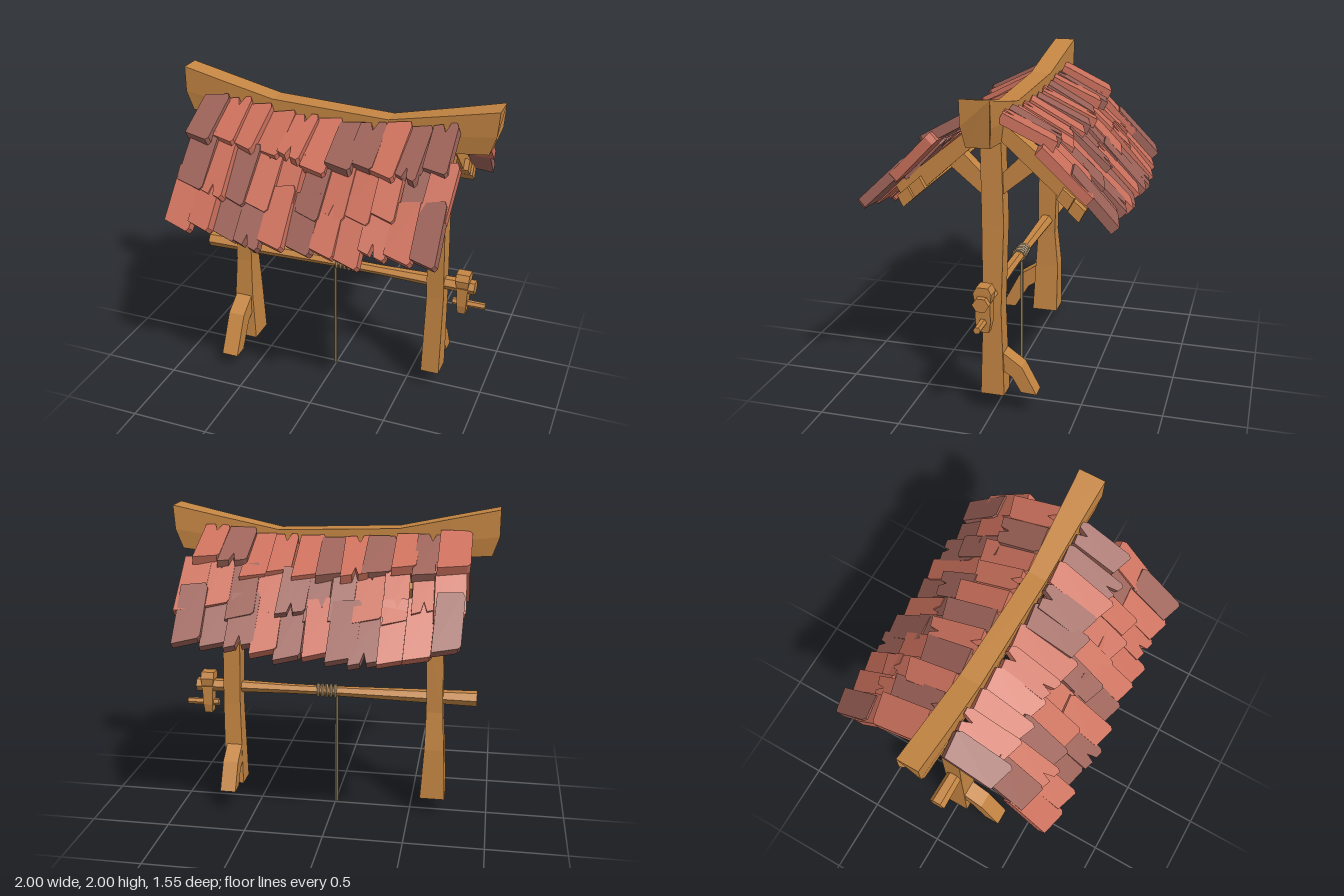
import * as THREE from 'three';

const material = (name, color) => Object.assign(new THREE.MeshStandardMaterial({ color }), { name });

// Flat-faced solid through cross-sections that all have the same number of points
function loft(sections) {
  const pos = [];
  const n = sections[0].length;
  const tri = (a, b, c) => pos.push(...a, ...b, ...c);
  for (let i = 0; i + 1 < sections.length; i++) {
    const A = sections[i], B = sections[i + 1];
    for (let j = 0; j < n; j++) {
      const k = (j + 1) % n;
      tri(A[j], A[k], B[k]);
      tri(A[j], B[k], B[j]);
    }
  }
  const first = sections[0], last = sections[sections.length - 1];
  for (let j = 1; j + 1 < n; j++) {
    tri(first[0], first[j + 1], first[j]);
    tri(last[0], last[j], last[j + 1]);
  }
  // turn the faces outward if the signed volume is negative
  let volume = 0;
  for (let i = 0; i < pos.length; i += 9) {
    const [a, b, c] = [0, 3, 6].map(o => new THREE.Vector3().fromArray(pos, i + o));
    volume += a.dot(b.cross(c));
  }
  if (volume < 0) {
    for (let i = 0; i < pos.length; i += 9) {
      for (let d = 0; d < 3; d++) [pos[i + 3 + d], pos[i + 6 + d]] = [pos[i + 6 + d], pos[i + 3 + d]];
    }
  }
  const g = new THREE.BufferGeometry();
  g.setAttribute('position', new THREE.Float32BufferAttribute(pos, 3));
  g.computeVertexNormals();
  return g;
}

function flat(geometry) {
  const g = geometry.toNonIndexed();
  g.computeVertexNormals();
  return g;
}

// Upright timber from rows of [y, x0, x1, z0, z1]
const timber = rows => loft(rows.map(([y, x0, x1, z0, z1]) =>
  [[x0, y, z0], [x1, y, z0], [x1, y, z1], [x0, y, z1]]));

// Outline of [z, y] points extruded along x and centred on x
function sideProfile(points, x, width, sign = 1) {
  const shape = new THREE.Shape(points.map(([z, y]) => new THREE.Vector2(z * sign, y)));
  const g = new THREE.ExtrudeGeometry(shape, { depth: width, bevelEnabled: false });
  return g.translate(0, 0, -width / 2).rotateY(-Math.PI / 2).translate(x, 0, 0);
}

// Roof tile lying in xy, y up the slope, with a slanted lower edge and optional splits
function tileGeometry(w, len, skew, topSplit, lowSplit) {
  const h = w / 2, p = [[-h, -0.01]];
  if (topSplit) p.push([-0.02, 0], [0.005, -0.06], [0.025, 0.01]);
  p.push([h * 0.8, 0.012], [h, -0.02], [h * 1.04, -len - skew + 0.02], [h * 0.85, -len - skew]);
  if (lowSplit) p.push([0.02, -len - skew * 0.3], [0, -len + 0.07], [-0.015, -len]);
  p.push([-h * 0.96, -len + skew]);
  const shape = new THREE.Shape(p.map(([x, y]) => new THREE.Vector2(x, y)));
  return new THREE.ExtrudeGeometry(shape, { depth: 0.06, bevelEnabled: false }).translate(0, 0, -0.06);
}

export function createModel() {
  const model = new THREE.Group();
  model.name = 'wellRoof';
  const wood = material('wood', 0xc58643);
  const lightTile = material('light clay', 0xcb705c);
  const dullTile = material('dull clay', 0x9c6258);
  const ropeFibre = material('rope fibre', 0x988260);
  const add = (name, geometry, mat, parent = model) => {
    const mesh = new THREE.Mesh(geometry, mat);
    mesh.name = name;
    parent.add(mesh);
    return mesh;
  };
  let seed = 11;
  const jitter = amount => {
    seed = (seed * 16807) % 2147483647;
    return (seed / 2147483647 - 0.5) * 2 * amount;
  };

  // Posts
  add('rightPost', timber([
    [0.11, -0.73, -0.57, -0.085, 0.09], [0.45, -0.715, -0.59, -0.085, 0.075], [0.7, -0.70, -0.595, -0.06, 0.06],
    [1.2, -0.69, -0.585, -0.075, 0.055], [1.74, -0.70, -0.59, -0.06, 0.06]]), wood);
  add('leftPost', timber([
    [0.125, 0.61, 0.73, -0.075, 0.07], [0.68, 0.62, 0.73, -0.06, 0.05],
    [1.2, 0.605, 0.715, -0.075, 0.055], [1.74, 0.60, 0.71, -0.06, 0.06]]), wood);

  // Foot braces, one in front and one behind
  add('frontFootBrace', sideProfile(
    [[0.05, 0.45], [0.2, 0.35], [0.33, 0.1], [0.23, 0.1], [0.13, 0.27], [0.05, 0.32]], -0.655, 0.11), wood);
  add('backFootBrace', sideProfile(
    [[-0.04, 0.42], [-0.18, 0.32], [-0.27, 0.15], [-0.175, 0.155], [-0.12, 0.25], [-0.04, 0.3]], 0.665, 0.1), wood);

  // Sagging ridge beam
  add('ridgeBeam', loft([
    // x at top, x at side, x at bottom, top y, side y, bottom y, back z, front z
    [-1, -1, -0.96, 2, 1.84, 1.72, -0.09, 0.045], [-0.7, -0.7, -0.7, 1.935, 1.8, 1.7, -0.08, 0.055],
    [-0.4, -0.4, -0.4, 1.87, 1.75, 1.66, -0.07, 0.06], [0.34, 0.34, 0.34, 1.84, 1.74, 1.65, -0.057, 0.062],
    [0.7, 0.7, 0.7, 1.915, 1.79, 1.68, -0.075, 0.07], [1, 0.99, 0.95, 1.98, 1.83, 1.71, -0.09, 0.08]
  ].map(([xt, xs, xb, t, s, b, z0, z1]) =>
    [[xt, t, z0], [xt, t, z1], [xs, s, z1], [xb, b, z1 * 0.8], [xb, b, z0 * 0.8], [xs, s, z0]])), wood);

  // Rafters, struts and eave planks on both slopes
  for (const sign of [1, -1]) {
    for (const x of [-0.645, 0.655]) {
      add('rafter', sideProfile(
        [[0, 1.82], [0.1, 1.77], [0.575, 1.385], [0.515, 1.28], [0.16, 1.6], [0.06, 1.69], [0, 1.72]], x, 0.095, sign), wood);
      add('strut', sideProfile([[0.03, 1.47], [0.18, 1.62], [0.26, 1.54], [0.03, 1.35]], x, 0.08, sign), wood);
    }
    const edge = [[0.55, 1.34], [0.515, 1.272], [0.45, 1.33], [0.485, 1.395]];
    add('eavePlankLower', sideProfile(edge, 0, 1.5, sign), wood);
    add('eavePlankUpper', sideProfile(edge.map(([z, y]) => [z - 0.067, y + 0.06]), 0.01, 1.45, sign), wood);
  }

  // Clay tiles: first tile x, spacing, top edge z and y, slope angle, length, colours from -x to +x
  const rows = [
    { x: -0.745, step: 0.145, z: 0.08, y: 1.875, angle: 27, len: 0.36, front: 'DLLLLLDDLDD', back: 'LDLDLDLLLDL' },
    { x: -0.73, step: 0.15, z: 0.325, y: 1.725, angle: 44, len: 0.34, front: 'DLDLLDLLLDL', back: 'LLLLDDDLDLL' },
    { x: -0.74, step: 0.149, z: 0.475, y: 1.575, angle: 46, len: 0.375, front: 'LLDDLDLLLLD', back: 'DLLDDLDLDDD' }
  ];
  for (const side of ['front', 'back']) {
    const roof = new THREE.Group();
    roof.name = side + 'Tiles';
    if (side === 'back') roof.rotation.y = Math.PI;
    model.add(roof);
    const sign = side === 'front' ? 1 : -1;
    rows.forEach((row, r) => {
      [...row[side]].forEach((code, i) => {
        const x = row.x + i * row.step + jitter(0.01);
        const w = 0.154 + jitter(0.018) + (i === 0 ? 0.02 : 0);
        const geometry = tileGeometry(w, row.len + jitter(0.035), 0.022 * sign, (i + r) % 3 === 1, (i * 2 + r) % 5 === 3);
        const tile = add('tile', geometry, code === 'L' ? lightTile : dullTile, roof);
        const sag = 0.12 * x * x - 0.066;
        tile.position.set(x * sign, row.y + sag + jitter(0.014), row.z + jitter(0.012));
        tile.rotation.set(THREE.MathUtils.degToRad(row.angle - 90) + jitter(0.05), -0.08 * sign + jitter(0.06), jitter(0.04));
      });
    });
  }

  // Six-sided windlass shaft, thinner in the middle
  add('windlassShaft', loft([[-0.91, 0.05], [0, 0.032], [0.3, 0.032], [0.92, 0.046]].map(([x, r]) =>
    Array.from({ length: 6 }, (_, i) =>
      [x, 0.787 + r * Math.sin(i * Math.PI / 3), 0.005 + r * 1.1 * Math.cos(i * Math.PI / 3)]))), wood);

  // Crank arm and grip
  add('crankArm', timber([
    [0.6, 0.82, 0.87, -0.028, 0.038], [0.66, 0.815, 0.875, -0.04, 0.05], [0.78, 0.81, 0.88, -0.04, 0.05],
    [0.84, 0.8, 0.885, -0.05, 0.06], [0.88, 0.8, 0.885, -0.03, 0.04]]), wood);
  add('crankGrip', flat(new THREE.CylinderGeometry(0.024, 0.022, 0.21, 6)
    .rotateZ(Math.PI / 2).translate(0.885, 0.665, 0.005)), wood);

  // Rope wound on the shaft and hanging down
  for (let i = 0; i < 5; i++) {
    const coil = add('ropeCoil', flat(new THREE.TorusGeometry(0.036, 0.011, 5, 10)), ropeFibre);
    coil.rotation.y = Math.PI / 2 + 0.12;
    coil.position.set(i * 0.028, 0.787, 0.005);
  }
  add('hangingRope', flat(new THREE.CylinderGeometry(0.011, 0.012, 0.79, 6).translate(-0.008, 0.395, 0.018)), ropeFibre);

  return model;
}
